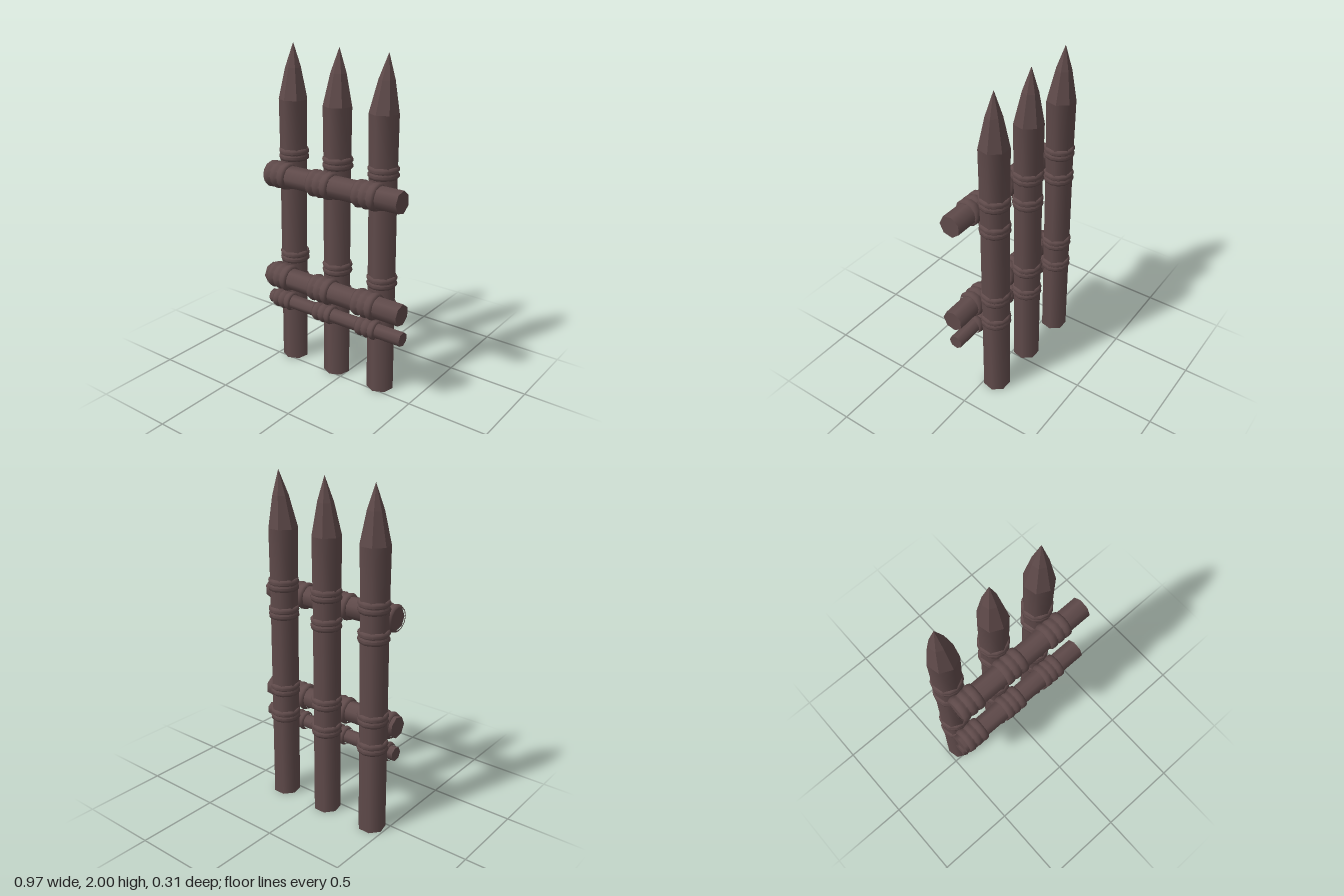
import * as THREE from 'three';
import { toCreasedNormals } from 'three/addons/utils/BufferGeometryUtils.js';

const wood = new THREE.MeshStandardMaterial({ color: 0x5f4a4a });
wood.name = 'dark wood';

// turned shape around y from [radius, height] pairs
function turned(profile, sides, crease) {
  const pts = profile.map(([r, y]) => new THREE.Vector2(r, y));
  return toCreasedNormals(new THREE.LatheGeometry(pts, sides), crease);
}

// rope wrap: a row of rounded ridges centred on y = 0
function wrapGeometry(radius, width, ridges) {
  const profile = [[radius * 0.8, -width / 2]];
  const steps = ridges * 4;
  for (let i = 0; i <= steps; i++) {
    const bump = Math.sqrt(Math.abs(Math.sin((i / 4) * Math.PI)));
    profile.push([radius - 0.009 * (1 - bump), (i / steps - 0.5) * width]);
  }
  profile.push([radius * 0.8, width / 2]);
  return turned(profile, 12, 1.1);
}

export function createModel() {
  const model = new THREE.Group();
  const add = (name, geometry, x, y, z) => {
    const mesh = new THREE.Mesh(geometry, wood);
    mesh.name = name;
    mesh.position.set(x, y, z);
    model.add(mesh);
    return mesh;
  };

  const posts = [
    { foot: -0.41, shoulder: -0.388, tip: -0.394 },
    { foot: -0.075, shoulder: -0.066, tip: -0.066 },
    { foot: 0.252, shoulder: 0.245, tip: 0.258 },
  ];
  const postZ = -0.065, shoulderY = 1.68;

  for (const { foot, shoulder, tip } of posts) {
    const lean = (shoulder - foot) / shoulderY;

    // leaning shaft
    const shaft = turned([[0, 0], [0.082, 0], [0.082, 1.3], [0.086, shoulderY]], 7, 1.1);
    shaft.applyMatrix4(new THREE.Matrix4().makeShear(0, 0, lean, 0, 0, 0));
    add('post', shaft, foot, 0, postZ);

    // faceted sharpened point
    const point = turned([[0.086, 0], [0.047, 0.18], [0, 0.32]], 7, 0.5);
    const pos = point.attributes.position;
    for (let i = 0; i < pos.count; i++) {
      const t = pos.getY(i) / 0.32;
      pos.setX(i, pos.getX(i) + (tip - shoulder) * t);
      pos.setZ(i, pos.getZ(i) - 0.013 * t);
    }
    point.computeVertexNormals();
    add('postPoint', point, shoulder, shoulderY, postZ);

    // rope bands above and below the two thick rails
    for (const y of [0.535, 0.705, 1.188, 1.355]) {
      add('postBand', wrapGeometry(0.09, 0.07, 2), foot + lean * y, y, postZ);
    }
  }

  // horizontal rails with a rope wrap at every post
  const rails = [
    { y: 1.255, z: 0.073, r: 0.066, x0: -0.45, x1: 0.46, wrap: 0.08, width: 0.15, tilt: 0 },
    { y: 0.605, z: 0.075, r: 0.065, x0: -0.475, x1: 0.478, wrap: 0.081, width: 0.146, tilt: -0.008 },
    { y: 0.445, z: 0.06, r: 0.043, x0: -0.48, x1: 0.48, wrap: 0.058, width: 0.135, tilt: 0 },
  ];
  for (const { y, z, r, x0, x1, wrap, width, tilt } of rails) {
    const bar = turned([[0, x0], [r, x0], [r, x1], [0, x1]], 7, 1.1);
    add('rail', bar, 0, y, z).rotation.z = -Math.PI / 2 + tilt;
    for (const x of [-0.38, -0.07, 0.245]) {
      add('railWrap', wrapGeometry(wrap, width, 3), x, y + x * tilt, z).rotation.z = -Math.PI / 2 + tilt;
    }
  }
  return model;
}
